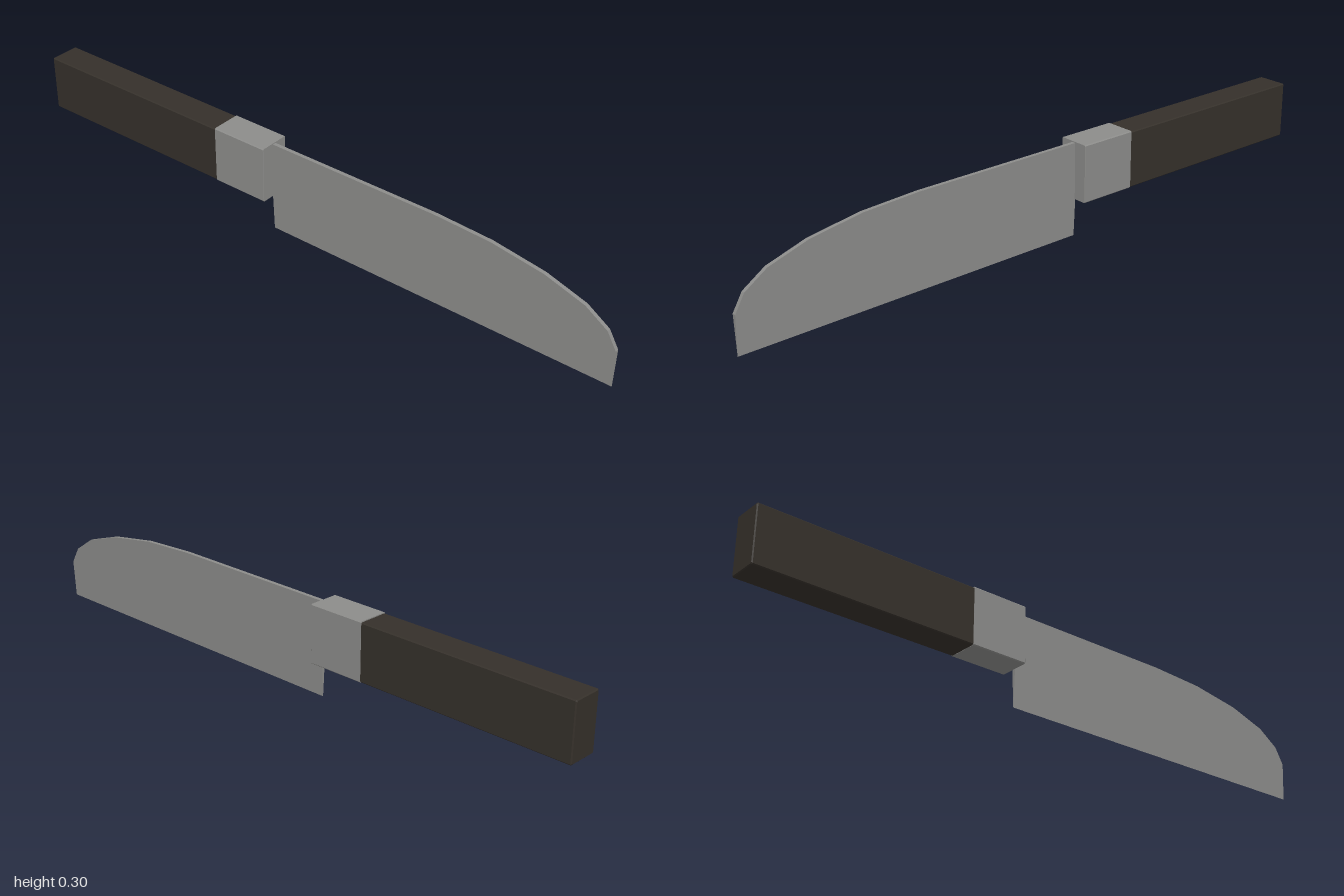
import * as THREE from 'three';

// Skin a list of convex rings (each { x, pts: [[y, z], ...] }, turning from +y to +z) along x, capped at both ends.
function loft(rings) {
  const n = rings[0].pts.length;
  const last = rings.length - 1;
  const pos = [];
  const idx = [];
  rings.forEach(({ x, pts }) => pts.forEach(([y, z]) => pos.push(x, y, z)));
  for (let r = 0; r < last; r++) {
    for (let i = 0; i < n; i++) {
      const a = r * n + i;
      const b = r * n + (i + 1) % n;
      idx.push(a, b, a + n, b, b + n, a + n);
    }
  }
  for (let i = 1; i < n - 1; i++) {
    idx.push(0, i + 1, i);
    idx.push(last * n, last * n + i, last * n + i + 1);
  }
  const indexed = new THREE.BufferGeometry();
  indexed.setAttribute('position', new THREE.Float32BufferAttribute(pos, 3));
  indexed.setIndex(idx);
  const geometry = indexed.toNonIndexed();
  geometry.computeVertexNormals();
  return geometry;
}

// Rectangle with clipped corners, shrunk by inset.
function clippedRect(y0, y1, halfZ, c, inset = 0) {
  const b = y0 + inset;
  const t = y1 - inset;
  const w = halfZ - inset;
  return [[t, -w + c], [t, w - c], [t - c, w], [b + c, w], [b, w - c], [b, -w + c], [b + c, -w], [t - c, -w]];
}

export function createModel() {
  const group = new THREE.Group();
  const steel = new THREE.MeshStandardMaterial({ color: 0x8c8c8a });
  const wood = new THREE.MeshStandardMaterial({ color: 0x35302a });
  const add = (name, geometry, material) => {
    const mesh = new THREE.Mesh(geometry, material);
    mesh.name = name;
    group.add(mesh);
  };

  // Handle: long bar with chamfered edges and butt
  const c = 0.003;
  add('handle', loft([
    { x: -1, pts: clippedRect(0.118, 0.294, 0.048, c, c) },
    { x: -1 + c, pts: clippedRect(0.118, 0.294, 0.048, c) },
    { x: -0.312, pts: clippedRect(0.118, 0.294, 0.048, c) },
  ]), wood);

  // Bolster: slightly larger metal collar
  add('bolster', loft([
    { x: -0.314, pts: clippedRect(0.117, 0.297, 0.049, c) },
    { x: -0.131, pts: clippedRect(0.117, 0.297, 0.049, c) },
    { x: -0.13, pts: clippedRect(0.117, 0.297, 0.049, c, 0.001) },
  ]), steel);

  // Blade: spine curve [x, y], cheeks tapering to the cutting edge
  const spine = [[-0.132, 0.293], [0.43, 0.293], [0.61, 0.284], [0.775, 0.258], [0.9, 0.218], [0.97, 0.171], [1, 0.119]];
  const t = 0.006;
  const blade = loft(spine.map(([x, top]) => ({
    x, pts: [[top, -t], [top, t], [0.115, t], [0, 0], [0.115, -t]],
  })));
  // Shade each cheek as one even surface, without a ridge line
  const normal = blade.attributes.normal;
  for (let i = 0; i < normal.count; i++) {
    if (Math.abs(normal.getZ(i)) > 0.9) normal.setXYZ(i, 0, 0, Math.sign(normal.getZ(i)));
  }
  add('blade', blade, steel);

  return group;
}
